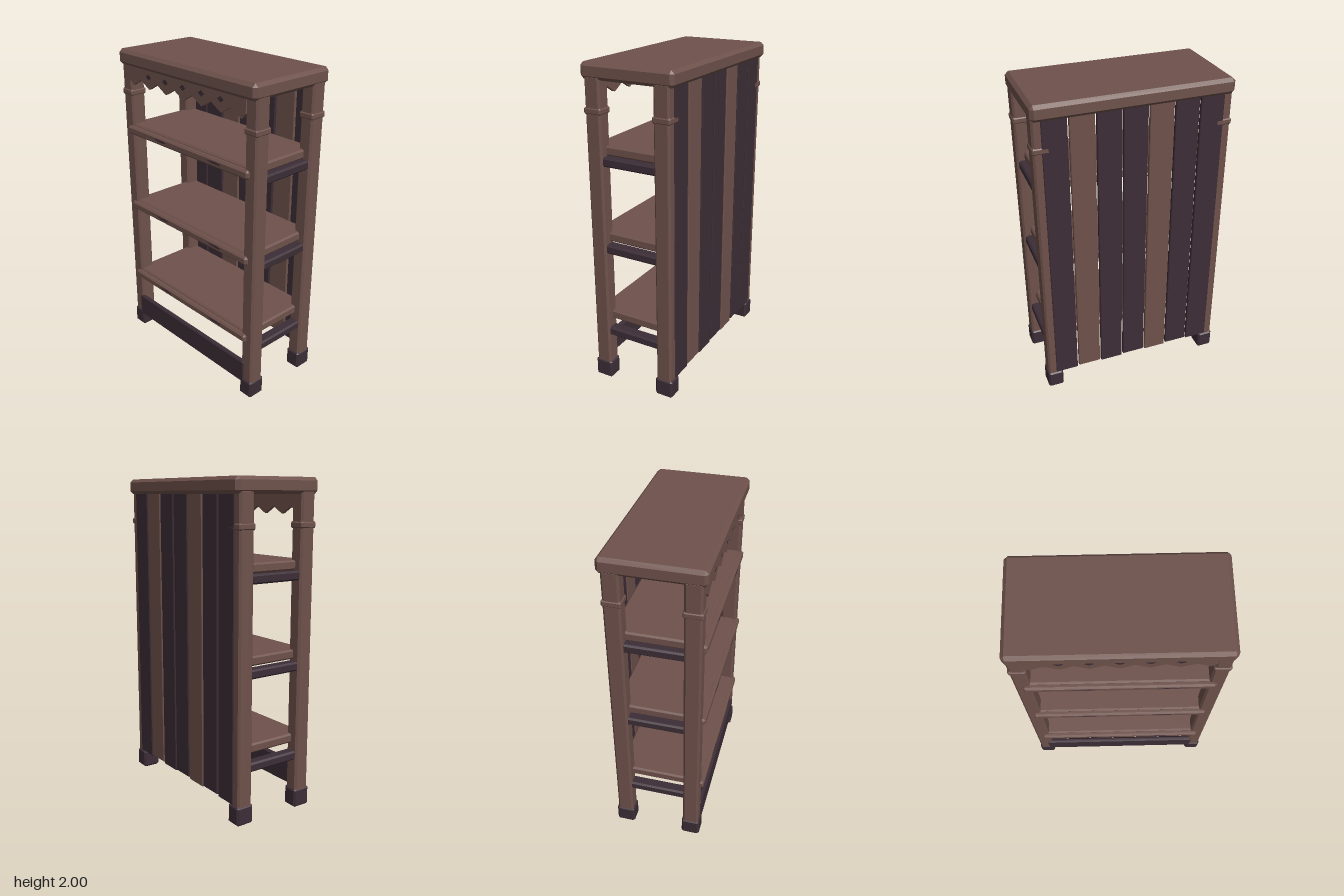
import * as THREE from 'three';
import { ConvexGeometry } from 'three/addons/geometries/ConvexGeometry.js';

const wood = new THREE.MeshStandardMaterial({ color: 0x6e514b });
wood.name = 'brown wood';
const dark = new THREE.MeshStandardMaterial({ color: 0x3c2d36 });
dark.name = 'dark wood';

// Box between two limits on each axis, with every edge chamfered by c
function chamferBox(name, [x0, x1], [y0, y1], [z0, z1], c, material) {
  const half = [(x1 - x0) / 2, (y1 - y0) / 2, (z1 - z0) / 2];
  const points = [];
  for (const sx of [-1, 1]) for (const sy of [-1, 1]) for (const sz of [-1, 1]) {
    for (let face = 0; face < 3; face++) {
      const p = half.map((h, axis) => (axis === face ? h : h - c));
      points.push(new THREE.Vector3(p[0] * sx, p[1] * sy, p[2] * sz));
    }
  }
  const mesh = new THREE.Mesh(new ConvexGeometry(points), material);
  mesh.name = name;
  mesh.position.set((x0 + x1) / 2, (y0 + y1) / 2, (z0 + z1) / 2);
  return mesh;
}

// Flat outline extruded towards the front
function plate(name, outline, depth, material, x, y, z) {
  const shape = new THREE.Shape(outline.map(([px, py]) => new THREE.Vector2(px, py)));
  const geometry = new THREE.ExtrudeGeometry(shape, { depth, bevelEnabled: false });
  const mesh = new THREE.Mesh(geometry, material);
  mesh.name = name;
  mesh.position.set(x, y, z);
  return mesh;
}

export function createModel() {
  const model = new THREE.Group();
  model.name = 'bookcase';

  // Top slab
  model.add(chamferBox('top', [-0.597, 0.597], [1.905, 2], [-0.295, 0.295], 0.02, wood));

  // Four corner posts with feet and collars
  for (const sx of [-1, 1]) for (const sz of [-1, 1]) {
    const span = (centre, half) => [centre - half, centre + half];
    const x = 0.547 * sx, z = 0.22 * sz;
    const corner = new THREE.Group();
    corner.name = 'cornerPost';
    corner.add(
      chamferBox('post', span(x, 0.045), [0.06, 1.93], span(z, 0.05), 0.012, wood),
      chamferBox('foot', span(x, 0.05), [0, 0.12], span(z, 0.058), 0.012, dark),
      chamferBox('collar', span(x, 0.05), [1.713, 1.752], span(z, 0.056), 0.008, wood));
    model.add(corner);
  }

  // Back planks with narrow gaps
  const plankColours = [dark, dark, wood, dark, dark, wood, dark];
  plankColours.forEach((material, i) => {
    const x = (i - 3) * 0.156;
    const bottom = 0.12 + 0.008 * (i % 2);
    model.add(chamferBox('backPlank', [x - 0.073, x + 0.073], [bottom, 1.91], [-0.276, -0.252], 0.004, material));
  });

  // Shelves: board, front lip, grain marks and side cleats
  const shelves = [
    { top: 1.53, lip: 1.49, cleat: 1.443 },
    { top: 0.997, lip: 0.961, cleat: 0.9 },
    { top: 0.468, lip: 0.427, cleat: 0.338 },
  ];
  const grain = [[-0.065, 0.003], [0.02, 0.007], [0.06, 0.001], [0.04, -0.006], [-0.02, -0.006]];
  for (const { top, lip, cleat } of shelves) {
    const shelf = new THREE.Group();
    shelf.name = 'shelf';
    shelf.add(
      chamferBox('board', [-0.543, 0.543], [top - 0.058, top], [-0.252, 0.262], 0.01, wood),
      chamferBox('lip', [-0.546, 0.546], [lip - 0.027, lip + 0.027], [0.25, 0.29], 0.012, wood));
    for (const x of [-0.21, 0.28]) shelf.add(plate('grainMark', grain, 0.002, dark, x, lip + 0.003, 0.2895));
    for (const s of [-1, 1]) {
      shelf.add(chamferBox('cleat', [0.545 * s - 0.035, 0.545 * s + 0.035],
        [cleat - 0.028, cleat + 0.028], [-0.19, 0.19], 0.01, dark));
    }
    model.add(shelf);
  }

  // Bottom skirt board
  model.add(chamferBox('skirt', [-0.532, 0.532], [0.085, 0.245], [0.245, 0.277], 0.01, dark));

  // Toothed valance under the top, with inlaid diamonds
  const teeth = 7, pitch = 0.159, edge = 0.51;
  const outline = [[edge, 1.915], [-edge, 1.915], [-edge, 1.825]];
  for (let i = 0; i < teeth; i++) {
    const x = (i - 3) * pitch;
    outline.push([x, 1.79]);
    if (i < teeth - 1) outline.push([x + pitch / 2, 1.835]);
  }
  outline.push([edge, 1.825]);
  model.add(plate('valance', outline, 0.022, wood, 0, 0, 0.252));
  const diamond = [[-0.026, 0], [0, -0.018], [0.026, 0], [0, 0.018]];
  for (let i = -2; i <= 2; i++) model.add(plate('diamondInlay', diamond, 0.004, dark, i * pitch, 1.865, 0.272));

  return model;
}
